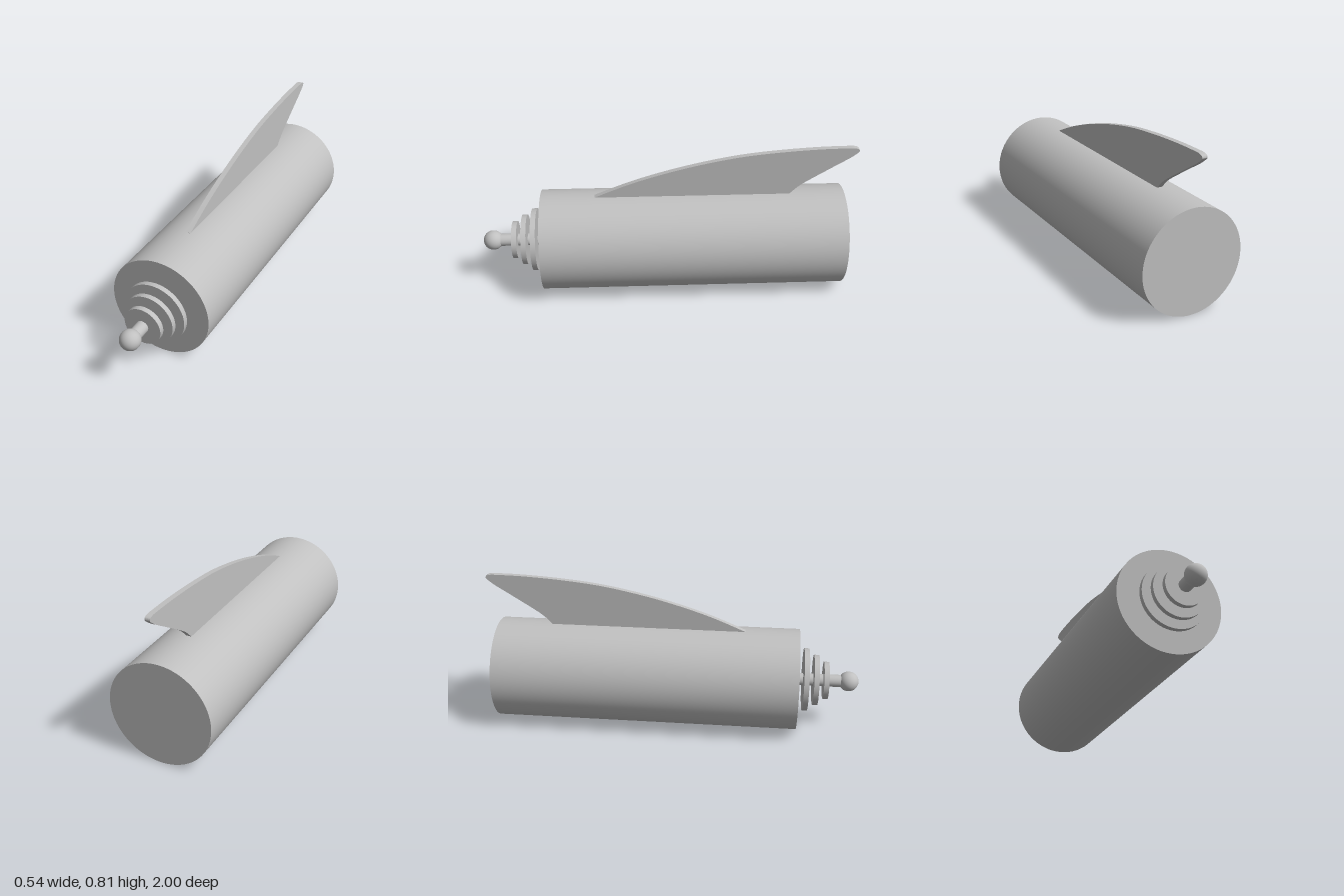
import * as THREE from 'three';
import { toCreasedNormals } from 'three/addons/utils/BufferGeometryUtils.js';

const AXIS_Y = 0.27;

export function createModel() {
  const model = new THREE.Group();
  model.name = 'finnedCylinder';
  const grey = new THREE.MeshStandardMaterial({ color: 0xc0c0c0 });
  grey.name = 'plain grey';

  const add = (name, geometry) => {
    const mesh = new THREE.Mesh(geometry, grey);
    mesh.name = name;
    model.add(mesh);
    return mesh;
  };

  // Cylinder lying along z between two z positions
  const rod = (name, radius, z0, z1, sides = 64) => {
    const geometry = new THREE.CylinderGeometry(radius, radius, z1 - z0, sides);
    geometry.rotateX(Math.PI / 2);
    add(name, geometry).position.set(0, AXIS_Y, (z0 + z1) / 2);
  };

  // Main body and nose shaft
  rod('body', 0.27, -0.943, 0.675, 96);
  rod('noseShaft', 0.033, 0.66, 0.93, 32);

  // Nose discs, shrinking towards the front
  [[0.168, 0.718], [0.135, 0.772], [0.1, 0.826]].forEach(([radius, z], i) =>
    rod(`noseDisc${i + 1}`, radius, z - 0.0135, z + 0.0135));

  // Ball at the nose tip
  add('noseBall', new THREE.SphereGeometry(0.053, 32, 24)).position.set(0, AXIS_Y, 0.947);

  // Swept fin: profile drawn with x pointing backwards, then turned along z
  const v = (x, y) => new THREE.Vector2(x, y);
  const fin = new THREE.Shape();
  fin.moveTo(-0.387, 0.5);
  fin.lineTo(-0.387, 0.54);
  fin.splineThru([v(-0.2, 0.617), v(0, 0.682), v(0.2, 0.733), v(0.4, 0.771),
    v(0.6, 0.793), v(0.8, 0.806), v(0.955, 0.809)]);
  fin.bezierCurveTo(0.985, 0.809, 1.01, 0.8, 0.992, 0.782);
  fin.splineThru([v(0.95, 0.75), v(0.875, 0.703), v(0.74, 0.617), v(0.69, 0.58), v(0.65, 0.54)]);
  fin.lineTo(0.65, 0.5);
  const width = 0.028;
  const finGeometry = new THREE.ExtrudeGeometry(fin, { depth: width, bevelEnabled: false, curveSegments: 10 });
  finGeometry.translate(0, 0, -width / 2).rotateY(Math.PI / 2);
  add('fin', toCreasedNormals(finGeometry, 0.5));

  return model;
}
